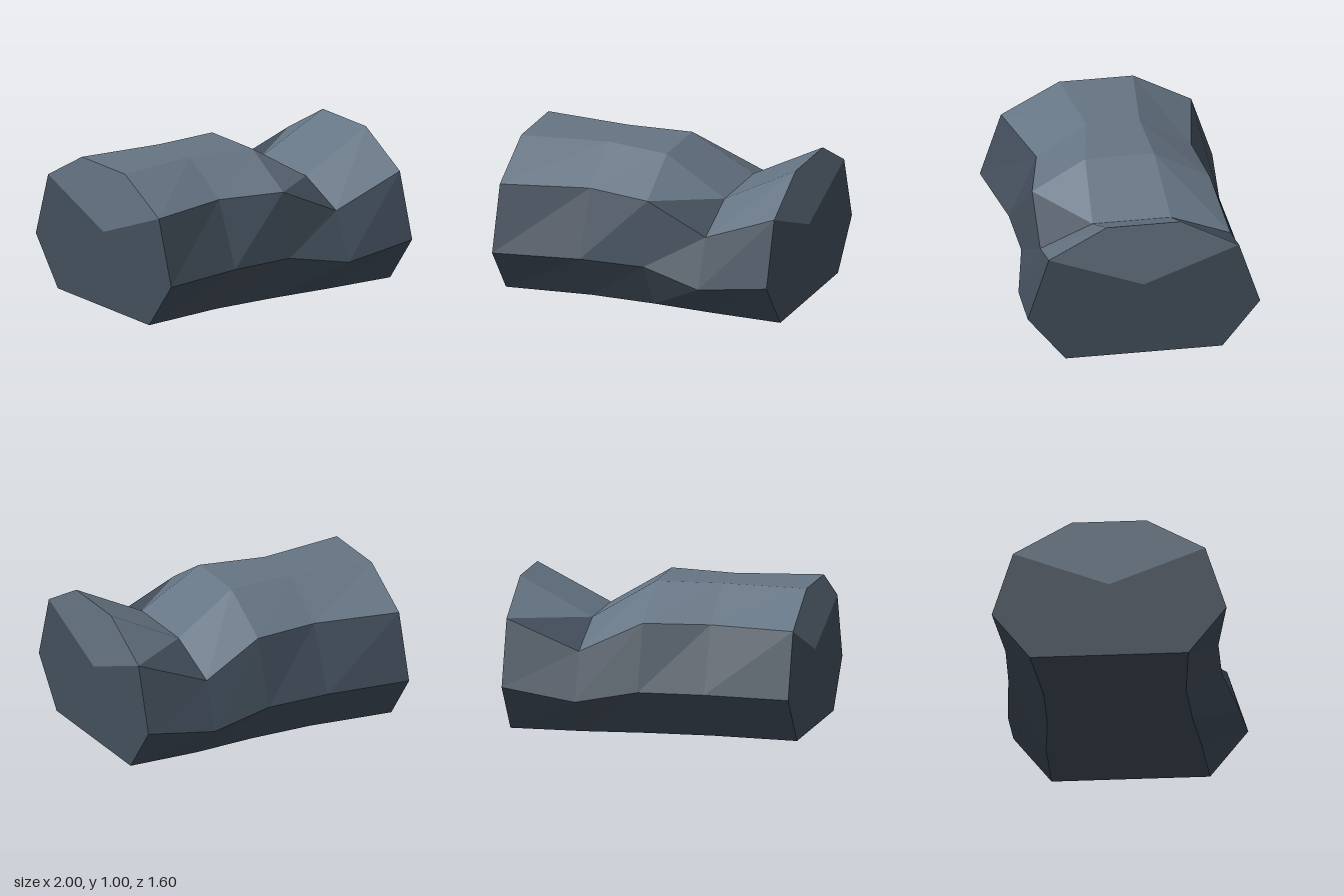
import * as THREE from 'three';

// Cross-sections along x: heights from the foot up to the crown (foot, belly, shoulder, crown),
// then the z of those four points on the front and on the back.
const FULL = [0, 0.33, 0.78, 1];
const SECTIONS = [
  { x: -1, y: FULL, front: [0.54, 0.8, 0.655, 0.255], back: [0.54, 0.8, 0.655, 0.255] },
  { x: -0.4, y: FULL, front: [0.48, 0.7, 0.51, 0.165], back: [0.49, 0.75, 0.555, 0.2] },
  { x: 0.06, y: FULL, front: [0.49, 0.69, 0.615, 0.25], back: [0.5, 0.765, 0.61, 0.225] },
  { x: 0.49, y: [0, 0.25, 0.58, 0.74], front: [0.52, 0.78, 0.63, 0.27], back: [0.54, 0.8, 0.68, 0.27] },
  { x: 1, y: FULL, front: [0.54, 0.8, 0.655, 0.255], back: [0.54, 0.8, 0.655, 0.255] },
];

// Eight-point ring: up the front, over the crown and down the back
function ring({ x, y, front, back }) {
  return [
    ...front.map((z, k) => [x, y[k], z]),
    ...back.map((z, k) => [x, y[k], -z]).reverse(),
  ];
}

function facetMesh(name, triangles, material) {
  const geometry = new THREE.BufferGeometry();
  geometry.setAttribute('position', new THREE.Float32BufferAttribute(triangles.flat(2), 3));
  geometry.computeVertexNormals();
  const mesh = new THREE.Mesh(geometry, material);
  mesh.name = name;
  return mesh;
}

export function createModel() {
  const paleStone = new THREE.MeshStandardMaterial({ color: 0x667584, flatShading: true });
  paleStone.name = 'paleStone';
  const darkStone = new THREE.MeshStandardMaterial({ color: 0x434f5c, flatShading: true });
  darkStone.name = 'darkStone';

  const rings = SECTIONS.map(ring);
  const pale = [];
  const dark = [];
  const isTop = (k) => k >= 2 && k <= 4;

  // Long facets between neighbouring rings, the strip from 7 to 0 being the underside
  for (let i = 0; i < rings.length - 1; i++) {
    for (let k = 0; k < 8; k++) {
      const n = (k + 1) % 8;
      const a = rings[i][k], b = rings[i + 1][k], c = rings[i + 1][n], d = rings[i][n];
      // Two dark chips break into the pale top beside the notch
      const frontChip = k === 2 && i === 2;
      const backChip = k === 4 && i === 3;
      (isTop(k) && !frontChip ? pale : dark).push([a, b, c]);
      (isTop(k) && !backChip ? pale : dark).push([a, c, d]);
    }
  }

  // End caps, with the pale top dipping to a point in the middle
  for (const [loop, flip] of [[rings[0], false], [rings[rings.length - 1], true]]) {
    const centre = [loop[0][0], 0.53, 0];
    for (let k = 0; k < 8; k++) {
      const a = loop[k], b = loop[(k + 1) % 8];
      (isTop(k) ? pale : dark).push(flip ? [centre, b, a] : [centre, a, b]);
    }
  }

  const rock = new THREE.Group();
  rock.name = 'rock';
  rock.add(facetMesh('rockTop', pale, paleStone), facetMesh('rockBody', dark, darkStone));
  return rock;
}
